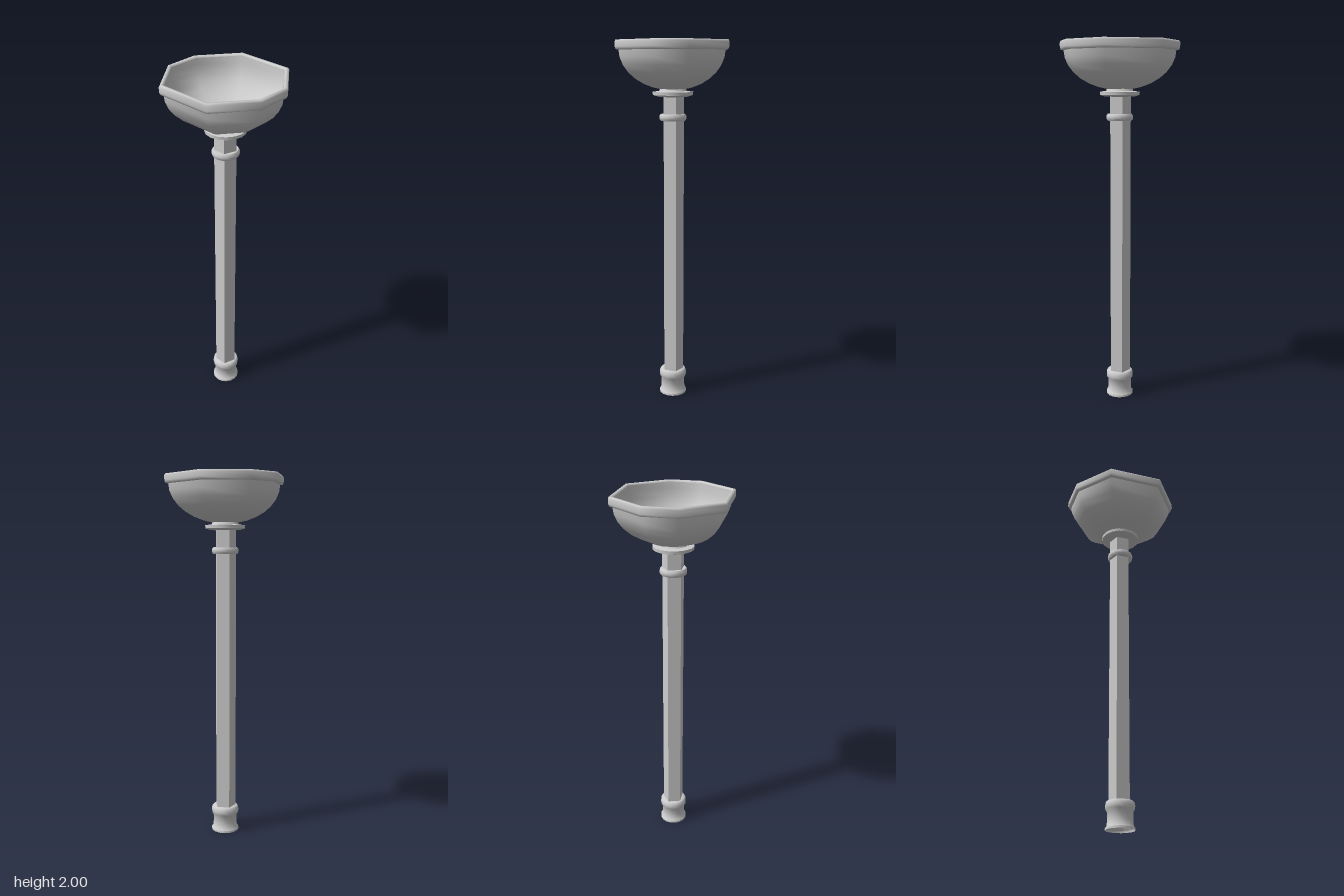
import * as THREE from 'three';
import { mergeVertices, toCreasedNormals } from 'three/addons/utils/BufferGeometryUtils.js';

// Outline of the bowl: a stretched octagon, walked from front left round to the back
const OCTAGON = [
  [0.153, 0.291], [0.307, 0.092], [0.307, -0.092], [0.153, -0.291],
  [-0.153, -0.291], [-0.307, -0.092], [-0.307, 0.092], [-0.153, 0.291],
];

const toPoints = (list) => list.map(([r, y]) => new THREE.Vector2(r, y));

// Sweeps a profile [scale, y] around the octagon, with smooth normals
function octagonLathe(profile) {
  const geometry = new THREE.LatheGeometry(toPoints(profile), 8);
  const position = geometry.attributes.position;
  for (let i = 0; i < position.count; i++) {
    const [scale, y] = profile[i % profile.length];
    const [x, z] = OCTAGON[Math.floor(i / profile.length) % 8];
    position.setXYZ(i, x * scale, y, z * scale);
  }
  geometry.deleteAttribute('normal');
  geometry.deleteAttribute('uv');
  const merged = mergeVertices(geometry);
  merged.computeVertexNormals();
  return merged;
}

// Quarter-ellipse bowl profile from the centre bottom up to the rim
function bowlProfile(radius, bottom, top, steps = 8) {
  const profile = [];
  for (let i = 0; i <= steps; i++) {
    const a = (i / steps) * Math.PI / 2;
    profile.push([radius * Math.sin(a), top - (top - bottom) * Math.cos(a)]);
  }
  return profile;
}

export function createModel() {
  const group = new THREE.Group();
  const stone = new THREE.MeshStandardMaterial({ color: 0xcccccc });
  stone.name = 'stone';
  const facetedStone = stone.clone();
  facetedStone.name = 'faceted stone';
  facetedStone.flatShading = true;
  const openStone = stone.clone();
  openStone.name = 'open stone';
  openStone.side = THREE.DoubleSide;

  const add = (name, geometry, material) => {
    const mesh = new THREE.Mesh(geometry, material);
    mesh.name = name;
    group.add(mesh);
    return mesh;
  };
  const addRing = (name, profile) => add(name,
    toCreasedNormals(new THREE.LatheGeometry(toPoints(profile), 16), 0.8), openStone);

  // Five-sided pole, its top just showing in the bottom of the bowl
  const bottom = 0.03, top = 1.757;
  add('pole', new THREE.CylinderGeometry(0.06, 0.06, top - bottom, 5, 1, false, Math.PI), facetedStone)
    .position.y = (bottom + top) / 2;

  // Hollow flared foot
  addRing('foot', [
    [0.077, 0], [0.077, 0.012], [0.069, 0.02], [0.066, 0.05], [0.067, 0.092],
    [0.075, 0.102], [0.077, 0.12], [0.074, 0.138], [0.067, 0.145], [0.045, 0.145],
  ]);

  // Rounded collar near the top of the pole
  addRing('collar', [
    [0.045, 1.58], [0.066, 1.58], [0.072, 1.588], [0.073, 1.598],
    [0.072, 1.608], [0.066, 1.616], [0.045, 1.616],
  ]);

  // Flange under the bowl
  addRing('flange', [
    [0.045, 1.708], [0.08, 1.708], [0.108, 1.717], [0.109, 1.734],
    [0.075, 1.738], [0.068, 1.752],
  ]);

  // Bowl: outer shell, raised rim and inside surface
  add('bowlOutside', octagonLathe(bowlProfile(0.94, 1.742, 1.955)), stone);
  add('rim', octagonLathe([
    [0.93, 1.95], [0.985, 1.952], [1, 1.965], [1, 1.99], [0.985, 2], [0.945, 2], [0.93, 1.99],
  ]), stone);
  add('bowlInside', octagonLathe([
    [0.93, 1.992], ...bowlProfile(0.925, 1.753, 1.96).reverse(),
  ]), stone);

  return group;
}
